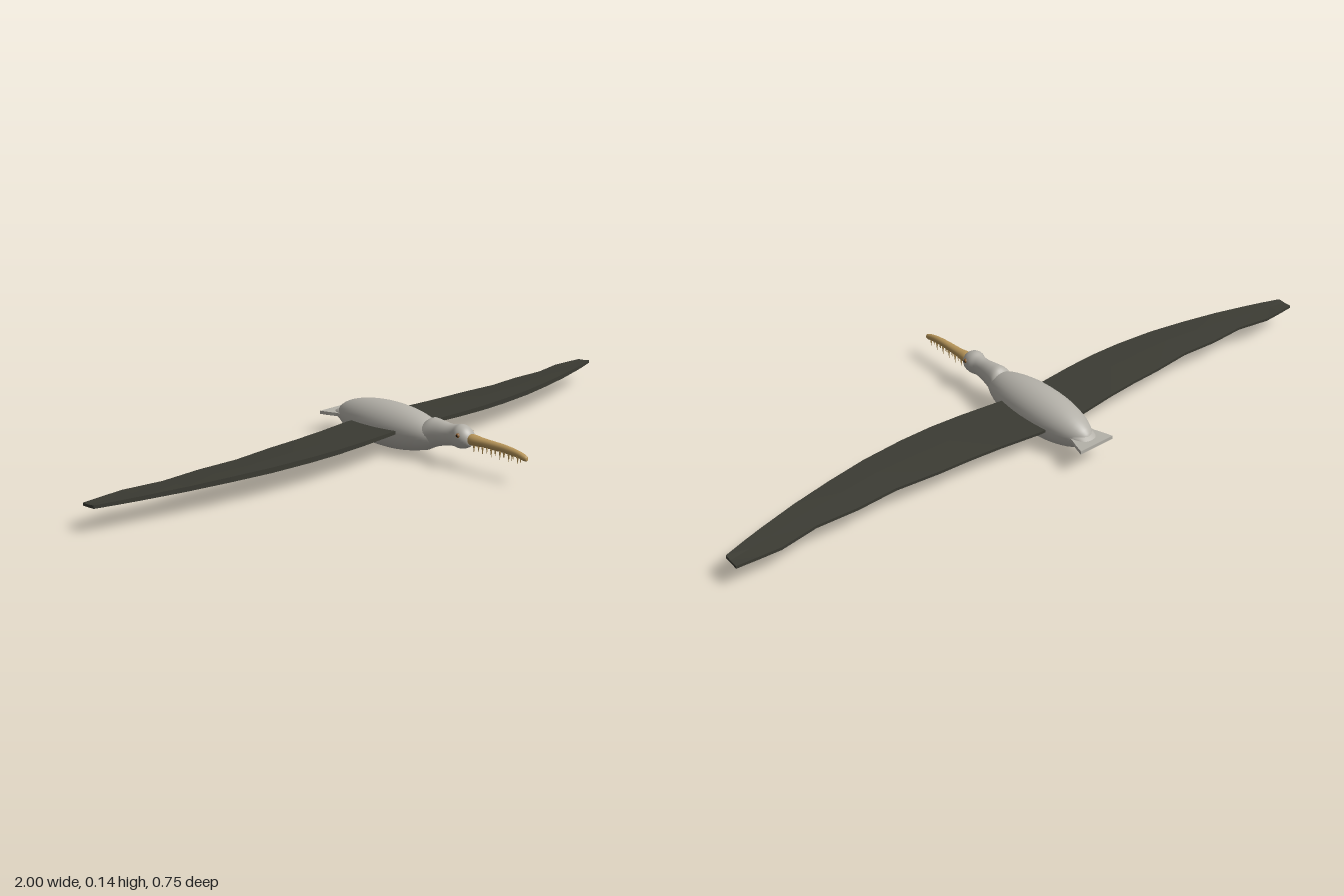
import * as THREE from 'three';

const paint = (name, color, side = THREE.FrontSide) => {
  const m = new THREE.MeshStandardMaterial({ color, side });
  m.name = name;
  return m;
};

// Smooth tube of elliptical rings; each station is [z, top, bottom, halfWidth], running towards +z
function loft(stations, sides = 28, steps = 5) {
  const top = new THREE.CatmullRomCurve3(stations.map(s => new THREE.Vector3(s[0], s[1], 0)));
  const low = new THREE.CatmullRomCurve3(stations.map(s => new THREE.Vector3(s[0], s[2], s[3])));
  const rings = (stations.length - 1) * steps;
  const pos = [], idx = [];
  for (let i = 0; i <= rings; i++) {
    const a = top.getPoint(i / rings), b = low.getPoint(i / rings);
    for (let j = 0; j < sides; j++) {
      const t = j / sides * Math.PI * 2;
      pos.push(Math.cos(t) * b.z, (a.y + b.y) / 2 + Math.sin(t) * (a.y - b.y) / 2, a.x);
      if (i === rings) continue;
      const k = (j + 1) % sides, p = i * sides, q = p + sides;
      idx.push(p + j, p + k, q + j, p + k, q + k, q + j);
    }
  }
  const g = new THREE.BufferGeometry();
  g.setAttribute('position', new THREE.Float32BufferAttribute(pos, 3));
  g.setIndex(idx);
  g.computeVertexNormals();
  return g;
}

// Wing stations: [x, leading z, trailing z]
const WING = [
  [0.02, -0.06, -0.24], [0.08, -0.053, -0.238], [0.2, -0.042, -0.222], [0.3, -0.037, -0.213],
  [0.4, -0.039, -0.208], [0.53, -0.05, -0.195], [0.65, -0.07, -0.201], [0.77, -0.094, -0.195],
  [0.88, -0.122, -0.213], [0.94, -0.139, -0.209], [1, -0.158, -0.204],
];

// Cambered slab wing: group 0 is the top and edges, group 1 the underside
function wingGeometry(side) {
  const sections = WING.map(([x, lead, trail]) => {
    const crown = 0.077 + 0.006 * Math.sin(Math.PI * x);
    const mid = lead + (trail - lead) * 0.45;
    return [[lead, 0.068], [lead, crown], [mid, crown - 0.003], [trail, 0.073], [trail, 0.065]]
      .map(([z, y]) => new THREE.Vector3(side * x, y, z));
  });
  const pos = [];
  const tri = (a, b, c) => (side > 0 ? [a, b, c] : [a, c, b]).forEach(v => pos.push(v.x, v.y, v.z));
  const strip = j => {
    for (let i = 0; i < sections.length - 1; i++) {
      const s = sections[i], n = sections[i + 1], k = (j + 1) % 5;
      tri(s[j], n[j], s[k]);
      tri(n[j], n[k], s[k]);
    }
  };
  [0, 1, 2, 3].forEach(strip);
  const tip = sections[sections.length - 1];
  for (let j = 1; j < 4; j++) tri(tip[0], tip[j + 1], tip[j]);
  const upper = pos.length / 3;
  strip(4);
  const g = new THREE.BufferGeometry();
  g.setAttribute('position', new THREE.Float32BufferAttribute(pos, 3));
  g.computeVertexNormals();
  g.addGroup(0, upper, 0);
  g.addGroup(upper, pos.length / 3 - upper, 1);
  return g;
}

export function createModel() {
  const bird = new THREE.Group();
  bird.name = 'toothedSeabird';
  const plumage = paint('paleGreyPlumage', 0xb4b1a9);
  const wingTop = paint('darkWing', 0x3b3b33, THREE.DoubleSide);
  const wingUnder = paint('greyWingUnderside', 0x8e8c89, THREE.DoubleSide);
  const horn = paint('hornBeak', 0xb8965a);
  const iris = paint('brownIris', 0x8a5a28);
  const black = paint('blackPupil', 0x14120f);

  const add = (name, geometry, material, x = 0, y = 0, z = 0) => {
    const m = new THREE.Mesh(geometry, material);
    m.name = name;
    m.position.set(x, y, z);
    bird.add(m);
    return m;
  };

  // Body
  const body = new THREE.SphereGeometry(1, 36, 24);
  body.rotateX(Math.PI / 2);
  body.scale(0.07, 0.0675, 0.207);
  add('body', body, plumage, 0, 0.0695, -0.14);

  // Neck and head
  add('neckAndHead', loft([
    [-0.03, 0.08, 0.07, 0.005], [-0.01, 0.1, 0.022, 0.042], [0.015, 0.113, 0.023, 0.042],
    [0.033, 0.123, 0.032, 0.037], [0.06, 0.122, 0.044, 0.031], [0.1, 0.118, 0.054, 0.025],
    [0.12, 0.12, 0.057, 0.025], [0.14, 0.125, 0.055, 0.031], [0.16, 0.12, 0.059, 0.029],
    [0.175, 0.107, 0.068, 0.019], [0.182, 0.09, 0.085, 0.002],
  ]), plumage);

  // Beak
  add('beak', loft([
    [0.168, 0.1, 0.08, 0.01], [0.178, 0.104, 0.073, 0.017], [0.22, 0.101, 0.075, 0.014],
    [0.3, 0.098, 0.075, 0.011], [0.345, 0.092, 0.072, 0.009], [0.368, 0.085, 0.068, 0.008],
    [0.375, 0.081, 0.069, 0.005], [0.376, 0.075, 0.074, 0.0005],
  ], 20), horn);

  // Bony teeth, alternating long and short along both edges
  for (const side of [1, -1]) {
    for (let i = 0; i < 11; i++) {
      const long = i % 2 === 0, h = long ? 0.026 : 0.014;
      const tooth = new THREE.ConeGeometry(long ? 0.0032 : 0.0022, h, 8);
      tooth.rotateX(Math.PI);
      const z = 0.196 + i * 0.0152;
      add('tooth', tooth, horn, side * (0.01 - i * 0.0004), 0.079 - h / 2, z);
    }
  }

  for (const side of [1, -1]) {
    // Eyes
    add('eye', new THREE.SphereGeometry(0.0065, 16, 12), iris, side * 0.0275, 0.1, 0.152);
    add('pupil', new THREE.SphereGeometry(0.0035, 12, 8), black, side * 0.0315, 0.1, 0.1525);
    // Wings
    add(side > 0 ? 'leftWing' : 'rightWing', wingGeometry(side), [wingTop, wingUnder]);
  }

  // Flared tail fan, tapering from the body to a thin square end
  add('tailRoot', loft([
    [-0.358, 0.073, 0.067, 0.02], [-0.34, 0.082, 0.058, 0.03],
    [-0.32, 0.09, 0.045, 0.038], [-0.29, 0.1, 0.04, 0.042],
  ], 24), plumage);
  const fan = new THREE.Shape([
    [-0.034, 0.29], [0.034, 0.29], [0.041, 0.325], [0.05, 0.35],
    [0.058, 0.377], [-0.058, 0.377], [-0.05, 0.35], [-0.041, 0.325],
  ].map(p => new THREE.Vector2(...p)));
  const tail = new THREE.ExtrudeGeometry(fan, { depth: 0.01, bevelEnabled: false });
  tail.rotateX(-Math.PI / 2);
  add('tail', tail, plumage, 0, 0.064, 0);

  return bird;
}
